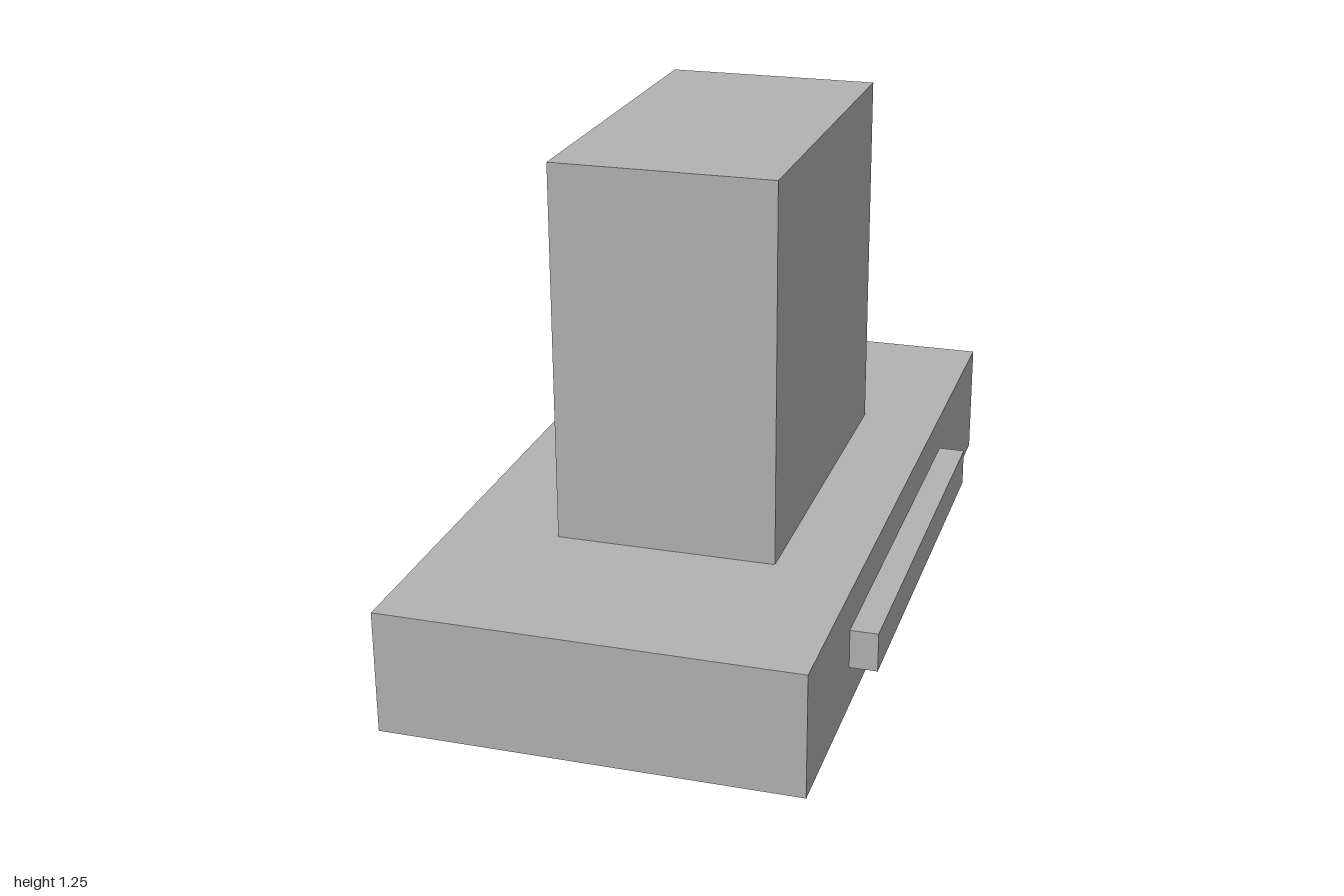
import * as THREE from 'three';

const steel = new THREE.MeshStandardMaterial({ color: 0xb3b3b3 });
steel.name = 'brushed grey';

// Box given by its minimum and maximum corners
function box(name, [x0, y0, z0], [x1, y1, z1]) {
  const mesh = new THREE.Mesh(new THREE.BoxGeometry(x1 - x0, y1 - y0, z1 - z0), steel);
  mesh.position.set((x0 + x1) / 2, (y0 + y1) / 2, (z0 + z1) / 2);
  mesh.name = name;
  return mesh;
}

// Round-ended slot running along the shape's y axis
function slot(cx, cy, width, length) {
  const r = width / 2, h = length / 2 - r;
  const path = new THREE.Path();
  path.moveTo(cx + r, cy - h);
  path.lineTo(cx + r, cy + h);
  path.absarc(cx, cy + h, r, 0, Math.PI, false);
  path.lineTo(cx - r, cy - h);
  path.absarc(cx, cy - h, r, Math.PI, Math.PI * 2, false);
  return path;
}

// Perforated filter plate with a regular grid of slots
function filterPlate() {
  const width = 0.625, length = 1.65, columns = 10, rows = 11;
  const dx = 0.06, dz = 0.145;
  const shape = new THREE.Shape();
  shape.moveTo(-width / 2, -length / 2);
  shape.lineTo(width / 2, -length / 2);
  shape.lineTo(width / 2, length / 2);
  shape.lineTo(-width / 2, length / 2);
  shape.closePath();
  for (let i = 0; i < columns; i++) {
    for (let j = 0; j < rows; j++) {
      shape.holes.push(slot((i - (columns - 1) / 2) * dx, (j - (rows - 1) / 2) * dz, 0.036, 0.1));
    }
  }
  const geometry = new THREE.ExtrudeGeometry(shape, { depth: 0.025, bevelEnabled: false, curveSegments: 6 });
  geometry.rotateX(-Math.PI / 2);
  const mesh = new THREE.Mesh(geometry, steel);
  mesh.position.set(-0.018, 0, 0.005);
  mesh.name = 'filterPlate';
  return mesh;
}

export function createModel() {
  const hood = new THREE.Group();
  hood.name = 'rangeHood';
  hood.add(
    box('canopy', [-0.533, 0.025, -1], [0.466, 0.325, 1]),
    box('chimney', [-0.27, 0.325, -0.433], [0.266, 1.25, 0.52]),
    box('controlBar', [0.466, 0.13, -0.49], [0.533, 0.226, 0.603]),
    filterPlate(),
  );
  return hood;
}
